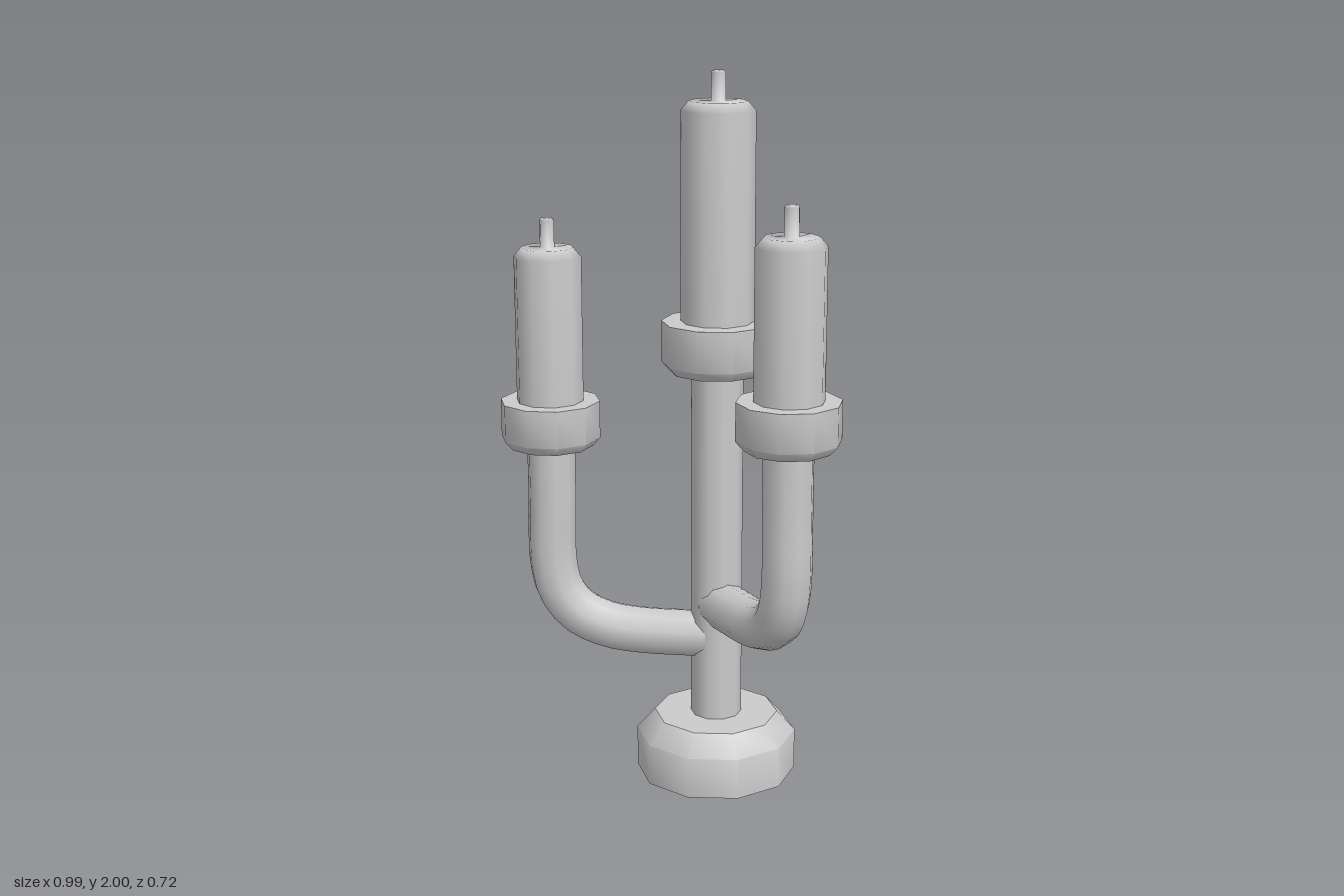
import * as THREE from 'three';
import { toCreasedNormals } from 'three/addons/utils/BufferGeometryUtils.js';

const SIDES = 10;

export function createModel() {
  const model = new THREE.Group();
  model.name = 'candelabra';
  const material = new THREE.MeshStandardMaterial({ color: 0xcccccc, side: THREE.DoubleSide });

  function add(parent, name, geometry) {
    const mesh = new THREE.Mesh(geometry, material);
    mesh.name = name;
    parent.add(mesh);
    return mesh;
  }

  // Ten-sided turned shape from [radius, height] pairs, bottom to top
  function turned(profile, turn, crease) {
    const points = profile.map(([r, y]) => new THREE.Vector2(r, y));
    const geometry = new THREE.LatheGeometry(points, SIDES, THREE.MathUtils.degToRad(turn));
    return crease ? toCreasedNormals(geometry, crease) : geometry;
  }

  // Cup with a bevelled underside, holding a candle with a wick
  function addCandle(name, { x, z, y, cupHeight, cupRadius, radius, top, wickTop, turn }) {
    const group = new THREE.Group();
    group.name = name;
    group.position.set(x, 0, z);
    model.add(group);
    const rim = y + cupHeight;
    add(group, 'cup', turned([
      [0.03, y], [cupRadius - 0.022, y], [cupRadius, y + 0.025], [cupRadius, rim], [0.03, rim],
    ], turn, 0.75));
    add(group, 'candle', turned([
      [radius, rim - 0.03], [radius, top - 0.025], [radius - 0.022, top], [0.02, top],
      [0.02, wickTop - 0.005], [0.015, wickTop], [0, wickTop],
    ], turn));
  }

  const centre = { x: -0.05, z: -0.133, y: 1.185, cupHeight: 0.14, cupRadius: 0.155,
    radius: 0.101, top: 1.92, wickTop: 2, turn: -2.8 };
  const right = { x: -0.36, z: 0.217, y: 0.96, cupHeight: 0.13, cupRadius: 0.14,
    radius: 0.094, top: 1.52, wickTop: 1.6, turn: -6 };
  const left = { x: 0.356, z: -0.061, y: 1.065, cupHeight: 0.13, cupRadius: 0.14,
    radius: 0.094, top: 1.62, wickTop: 1.7, turn: 6.6 };

  // Hollow foot, open underneath
  const base = add(model, 'base', turned([
    [0.228, 0], [0.228, 0.118], [0.176, 0.175], [0.04, 0.175],
  ], centre.turn, 0.77));
  base.position.set(centre.x, 0, centre.z);

  // Central column
  const column = add(model, 'column', turned([[0.072, 0.17], [0.072, 1.2]], centre.turn));
  column.position.set(centre.x, 0, centre.z);

  // Bent arm: steps are [share of the way from column to candle, height]
  function addArm(name, end, steps) {
    const path = new THREE.CatmullRomCurve3(steps.map(([t, y]) => new THREE.Vector3(
      THREE.MathUtils.lerp(centre.x, end.x, t), y, THREE.MathUtils.lerp(centre.z, end.z, t))));
    const group = new THREE.Group();
    group.name = name;
    model.add(group);
    add(group, 'tube', new THREE.TubeGeometry(path, 24, 0.068, SIDES));
    // Cap closing the end inside the column
    const cap = add(group, 'endCap', new THREE.CircleGeometry(0.068, SIDES));
    cap.position.copy(path.getPoint(0));
    cap.lookAt(path.getPoint(0).sub(path.getTangent(0)));
  }

  addArm('rightArm', right, [[0.05, 0.41], [0.48, 0.415], [0.68, 0.43], [0.855, 0.47],
    [0.96, 0.535], [1, 0.62], [1, 0.8], [1, 0.97]]);
  addArm('leftArm', left, [[0.05, 0.51], [0.5, 0.52], [0.7, 0.535], [0.87, 0.57],
    [0.965, 0.63], [1, 0.71], [1, 0.88], [1, 1.075]]);

  addCandle('centreCandle', centre);
  addCandle('rightCandle', right);
  addCandle('leftCandle', left);

  return model;
}
